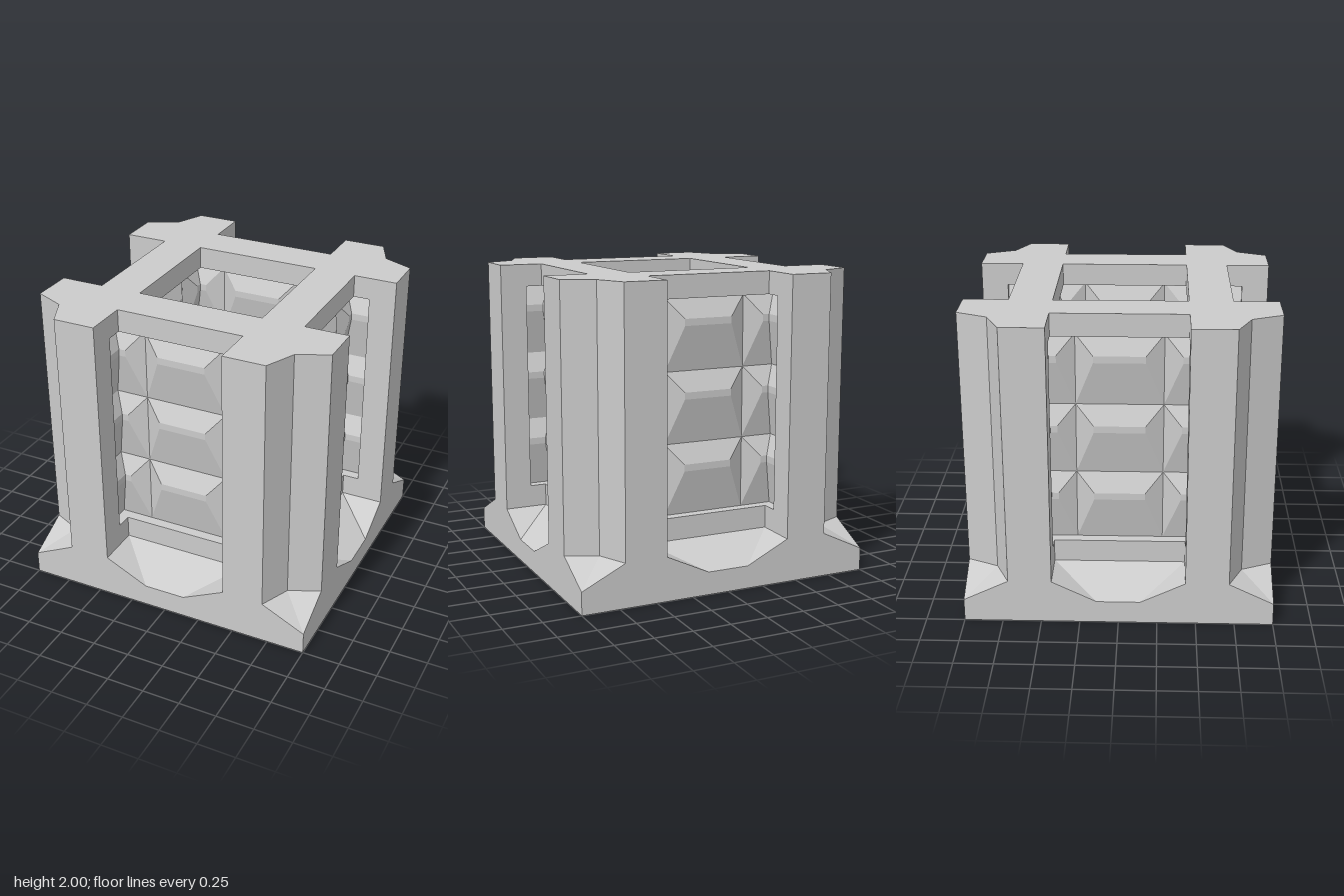
import * as THREE from 'three';

const material = new THREE.MeshStandardMaterial({ color: 0xcccccc, flatShading: true });
const quarters = [0, 1, 2, 3];

function addMesh(parent, geometry, name) {
  const mesh = new THREE.Mesh(geometry, material);
  mesh.name = name;
  parent.add(mesh);
  return mesh;
}

// Triangulates convex polygons as fans, skipping collapsed triangles
function polygons(list) {
  const points = [];
  for (const poly of list) {
    const v = poly.map((p) => new THREE.Vector3(...p));
    for (let i = 1; i < v.length - 1; i++) {
      const t = new THREE.Triangle(v[0], v[i], v[i + 1]);
      if (t.getArea() > 1e-6) points.push(t.a, t.b, t.c);
    }
  }
  const geometry = new THREE.BufferGeometry().setFromPoints(points);
  geometry.computeVertexNormals();
  return geometry;
}

// Horizontal layer: one side of the plan turned four times, with a square well
function layer(side, well, y0, y1) {
  const outline = [];
  for (const q of quarters) {
    for (const [x, y] of side) {
      let p = [x, y];
      for (let i = 0; i < q; i++) p = [p[1], -p[0]];
      outline.push(new THREE.Vector2(...p));
    }
  }
  const shape = new THREE.Shape(outline);
  shape.holes.push(new THREE.Path([[-1, -1], [1, -1], [1, 1], [-1, 1]]
    .map(([x, y]) => new THREE.Vector2(x * well, y * well))));
  return new THREE.ExtrudeGeometry(shape, { depth: y1 - y0, bevelEnabled: false })
    .rotateX(-Math.PI / 2).translate(0, y0, 0);
}

// Relief panel facing +z: three bulging courses, cut by V-grooves at the given x
const BULGE = 0.06, GROOVE = 0.115, PITCH = 0.47;
function reliefPanel(x0, x1, grooves) {
  const rows = [];
  for (let i = 0; i < 3; i++) {
    for (const [dy, h] of [[0, 0], [0.295, 1], [0.34, 1], [PITCH, 0]]) {
      const y = 0.44 + i * PITCH + dy, w = GROOVE * h, d = BULGE * h;
      const row = [[x0, y, d]];
      for (const g of grooves) row.push([g - w, y, d], [g, y, 0], [g + w, y, d]);
      row.push([x1, y, d]);
      rows.push(row);
    }
  }
  const faces = [];
  for (let r = 0; r < rows.length - 1; r++) {
    for (let c = 0; c < rows[r].length - 1; c++) {
      faces.push([rows[r][c], rows[r][c + 1], rows[r + 1][c + 1], rows[r + 1][c]]);
    }
  }
  return polygons(faces);
}

export function createModel() {
  const model = new THREE.Group();
  model.name = 'latticeBlock';

  // Lattice frame: sill, hollowed middle and top beams
  const plain = [[-0.8, 0.8], [-0.71, 1], [-0.43, 1], [-0.43, 0.71],
    [0.43, 0.71], [0.43, 1], [0.71, 1]];
  const pocketed = [[-0.8, 0.8], [-0.71, 1], [-0.43, 1], [-0.43, 0.82], [-0.505, 0.82],
    [-0.505, 0.635], [0.505, 0.635], [0.505, 0.82], [0.43, 0.82], [0.43, 1], [0.71, 1]];
  addMesh(model, layer(plain, 0.43, 0.29, 0.44), 'sillFrame');
  addMesh(model, layer(pocketed, 0.505, 0.44, 1.85), 'pillarsAndWalls');
  addMesh(model, layer(plain, 0.43, 1.85, 2), 'topFrame');

  // Base: underside, four outer faces and sloped floors
  addMesh(model, new THREE.PlaneGeometry(2, 2).rotateX(Math.PI / 2), 'underside');
  const baseFace = new THREE.ShapeGeometry(new THREE.Shape([
    [-1, 0], [1, 0], [1, 0.15], [0.71, 0.29], [0.43, 0.29], [0.14, 0.15],
    [-0.14, 0.15], [-0.43, 0.29], [-0.71, 0.29], [-1, 0.15],
  ].map((p) => new THREE.Vector2(...p)))).translate(0, 0, 1);
  const nicheFloor = polygons([
    [[-0.14, 0.15, 1], [0.14, 0.15, 1], [0.43, 0.29, 0.71], [-0.43, 0.29, 0.71]],
    [[-0.43, 0.29, 1], [-0.14, 0.15, 1], [-0.43, 0.29, 0.71]],
    [[0.14, 0.15, 1], [0.43, 0.29, 1], [0.43, 0.29, 0.71]],
  ]);
  const cornerFloor = polygons([
    [[0.71, 0.29, 1], [1, 0.15, 1], [0.8, 0.29, 0.8]],
    [[1, 0.15, 1], [1, 0.29, 0.71], [0.8, 0.29, 0.8]],
  ]);
  const wellFloor = polygons([
    [[-0.14, 0.15, -0.14], [0.14, 0.15, -0.14], [0.43, 0.29, -0.43], [-0.43, 0.29, -0.43]],
    [[0, 0.15, 0], [0.14, 0.15, -0.14], [-0.14, 0.15, -0.14]],
  ]);

  // Relief: wide grooved panels and the short returns inside each niche
  const widePanel = reliefPanel(-0.505, 0.505, [-0.28, 0.28]);
  const leftReturn = reliefPanel(0.635, 0.82, []).rotateY(-Math.PI / 2).translate(0.5, 0, 0);
  const rightReturn = reliefPanel(-0.82, -0.635, []).rotateY(Math.PI / 2).translate(-0.5, 0, 0);

  for (const q of quarters) {
    const side = new THREE.Group();
    side.name = `side${q + 1}`;
    side.rotation.y = q * Math.PI / 2;
    addMesh(side, baseFace, 'baseFace');
    addMesh(side, nicheFloor, 'nicheFloor');
    addMesh(side, cornerFloor, 'cornerFloor');
    addMesh(side, wellFloor, 'wellFloor');
    addMesh(side, widePanel, 'nichePanel').position.z = 0.64;
    addMesh(side, widePanel, 'wellPanel').position.z = -0.5;
    addMesh(side, leftReturn, 'leftReturn');
    addMesh(side, rightReturn, 'rightReturn');
    model.add(side);
  }
  return model;
}
